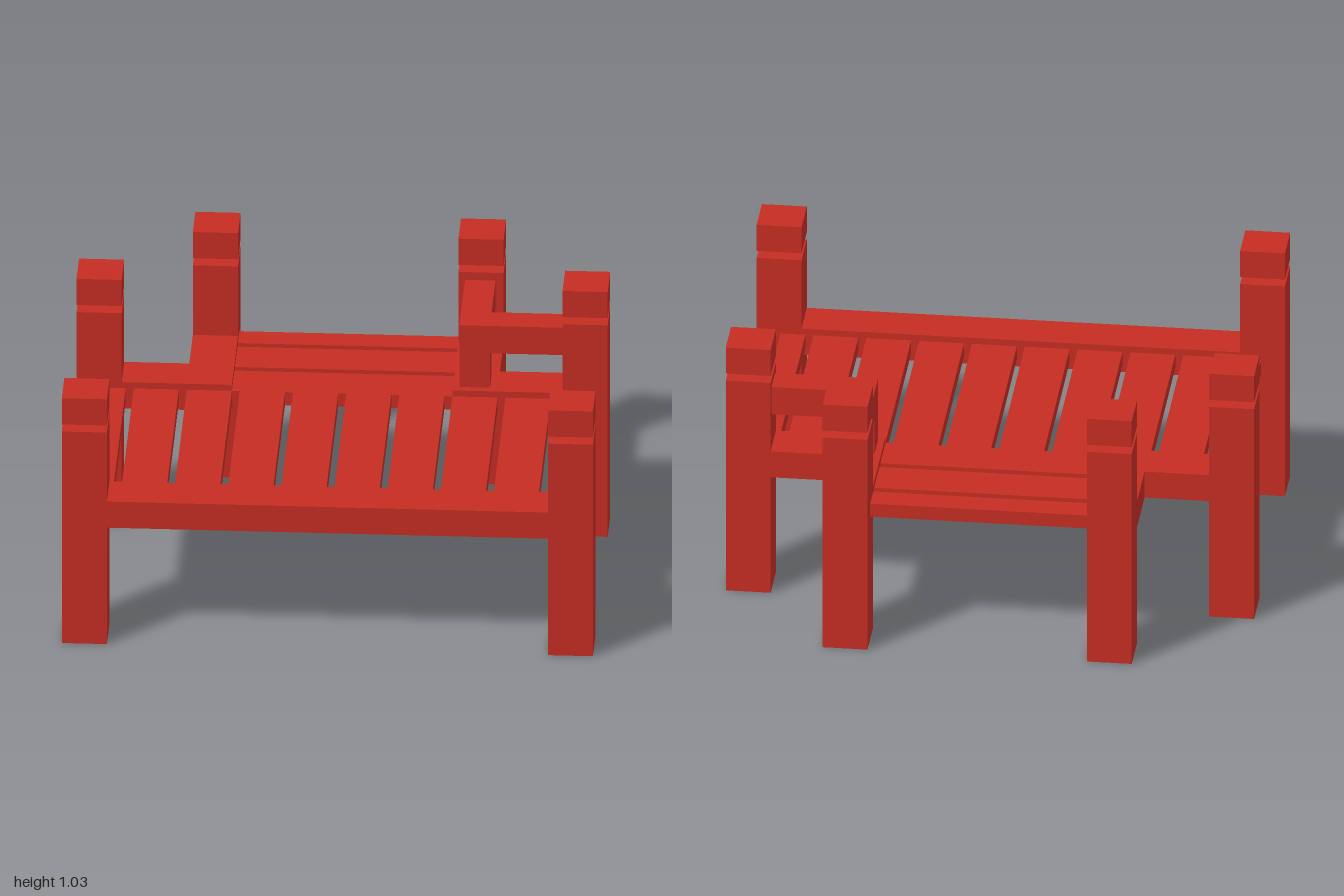
import * as THREE from 'three';

export function createModel() {
  const model = new THREE.Group();
  model.name = 'woodenDeck';
  const red = new THREE.MeshStandardMaterial({ color: 0xc42d23 });
  red.name = 'red paint';

  const add = (name, geometry) => {
    const mesh = new THREE.Mesh(geometry, red);
    mesh.name = name;
    model.add(mesh);
  };

  // Box given by its minimum and maximum on each axis
  const box = (name, x0, x1, y0, y1, z0, z1) => {
    const g = new THREE.BoxGeometry(x1 - x0, y1 - y0, z1 - z0);
    g.translate((x0 + x1) / 2, (y0 + y1) / 2, (z0 + z1) / 2);
    add(name, g);
  };

  // L-shaped rail around a rear corner; side is +1 for left, -1 for right
  const cornerRail = (name, side, inX, outX, frontZ, backZ, y0, y1) => {
    const points = [
      [inX, -0.62], [outX, -0.62], [outX, backZ],
      [0.83, backZ], [0.83, frontZ], [inX, frontZ],
    ].map(([x, z]) => new THREE.Vector2(side * x, z));
    const g = new THREE.ExtrudeGeometry(new THREE.Shape(points), { depth: y1 - y0, bevelEnabled: false });
    g.rotateX(Math.PI / 2).translate(0, y1, 0);
    add(name, g);
  };

  // Six posts, each with a cap set above a small gap
  const half = 0.085;
  for (const side of [-1, 1]) {
    const label = side > 0 ? 'left' : 'right';
    for (const [where, px, z] of [['Front', 0.915, 0.705], ['Middle', 0.915, -0.295], ['Back', 0.5, -0.71]]) {
      const x = side * px;
      box(`${label}${where}Post`, x - half, x + half, 0, 0.89, z - half, z + half);
      box(`${label}${where}Cap`, x - half, x + half, 0.92, 1.03, z - half, z + half);
    }
    cornerRail(`${label}CornerBeam`, side, 0.415, 0.585, -0.21, -0.38, 0.49, 0.6);
  }

  // Front beam
  box('frontBeam', -0.83, 0.83, 0.49, 0.6, 0.62, 0.79);

  // Raised handrail on the left rear corner, with its support
  cornerRail('handrail', 1, 0.44, 0.555, -0.24, -0.355, 0.745, 0.86);
  box('handrailSupport', 0.44, 0.555, 0.6, 0.745, -0.355, -0.24);

  // Lengthwise floor slats, with narrow ones at the sides
  const y0 = 0.52, y1 = 0.575;
  for (let i = 0; i < 8; i++) {
    const x = -0.7 + i * 0.2;
    box('floorSlat', x - half, x + half, y0, y1, -0.21, 0.62);
  }
  box('rightEdgeSlat', -0.91, -0.815, y0, y1, -0.21, 0.62);
  box('leftEdgeSlat', 0.815, 0.91, y0, y1, -0.21, 0.62);

  // Crosswise slats in the rear bay
  for (const [z0, z1] of [[-0.38, -0.21], [-0.58, -0.41], [-0.71, -0.61]]) {
    box('rearSlat', -0.415, 0.415, y0, y1, z0, z1);
  }

  return model;
}
